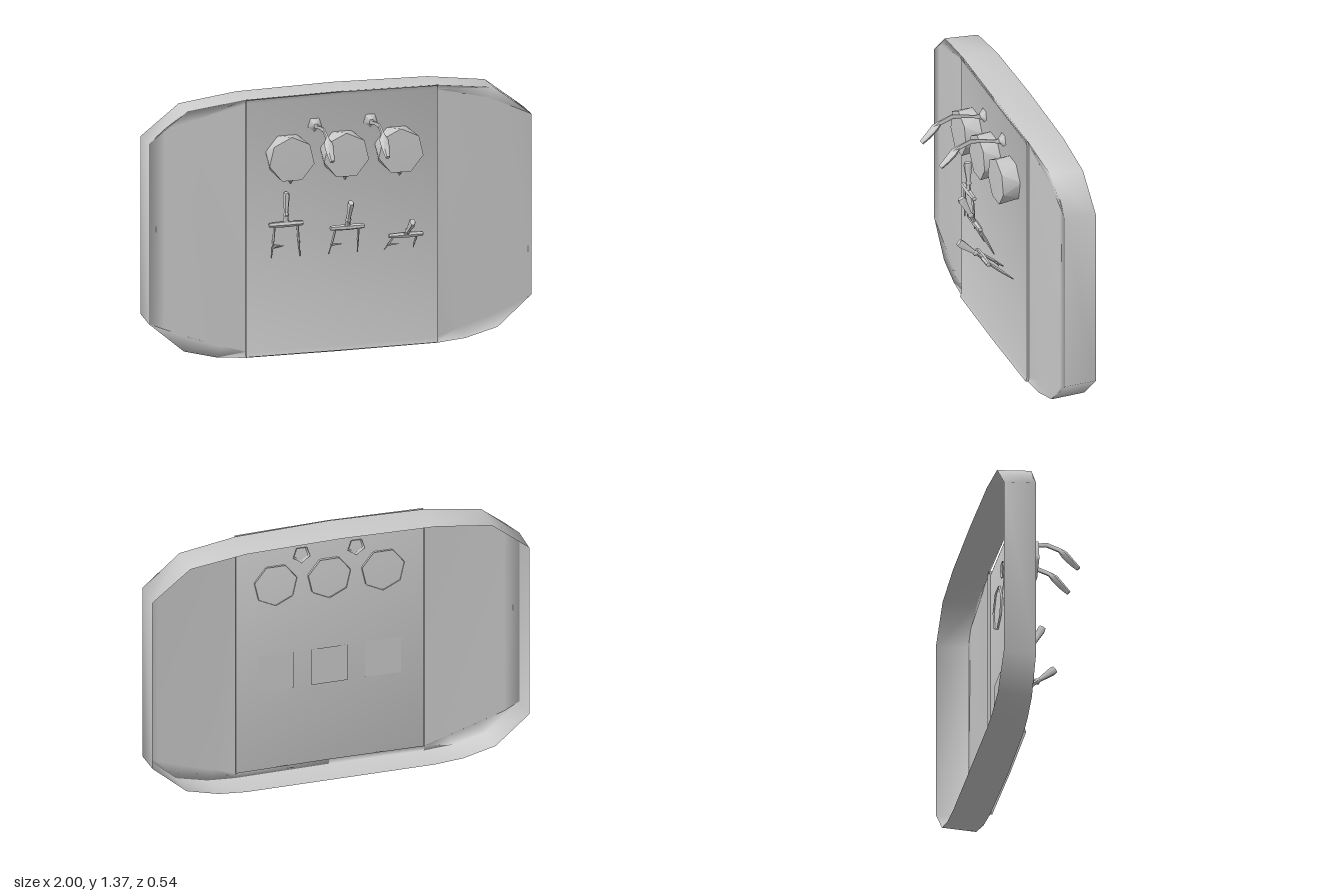
import * as THREE from 'three';
import { toCreasedNormals } from 'three/addons/utils/BufferGeometryUtils.js';

const grey = new THREE.MeshStandardMaterial({ color: 0xcccccc, side: THREE.DoubleSide });

function addMesh(parent, name, geometry) {
  const mesh = new THREE.Mesh(geometry, grey);
  mesh.name = name;
  parent.add(mesh);
  return mesh;
}

function indexed(points, faces) {
  const g = new THREE.BufferGeometry();
  g.setAttribute('position', new THREE.Float32BufferAttribute(points.flat(), 3));
  g.setIndex(faces.flat());
  g.computeVertexNormals();
  return g;
}

// Bar with oval cross-sections [x, y, z, radiusX, radiusAcross] along a path in the yz plane
function loft(sections, sides = 6) {
  const points = [], faces = [], n = sections.length;
  sections.forEach(([x, y, z, rx, ra], i) => {
    const a = sections[Math.max(i - 1, 0)], b = sections[Math.min(i + 1, n - 1)];
    const len = Math.hypot(b[1] - a[1], b[2] - a[2]);
    const dy = (b[1] - a[1]) / len, dz = (b[2] - a[2]) / len;
    for (let k = 0; k < sides; k++) {
      const t = k / sides * Math.PI * 2, c = Math.cos(t) * rx, s = Math.sin(t) * ra;
      points.push([x + c, y - s * dz, z + s * dy]);
    }
  });
  for (let i = 0; i < n - 1; i++) for (let k = 0; k < sides; k++) {
    const a = i * sides + k, b = i * sides + (k + 1) % sides;
    faces.push([a, a + sides, b], [b, a + sides, b + sides]);
  }
  for (let k = 1; k < sides - 1; k++) {
    const e = (n - 1) * sides;
    faces.push([0, k, k + 1], [e, e + k + 1, e + k]);
  }
  return toCreasedNormals(indexed(points, faces), 1);
}

// Closed loop from the right half of an outline, top centre to bottom centre
const loop = half => [...half, ...half.slice(1, -1).reverse().map(([x, y]) => [-x, y])];
const frontZ = x => -0.075 - 0.03 * x * x;

// Open-backed housing: side wall, front lip and two side panels
function housing() {
  const outer = loop([[0, 1.37], [0.5, 1.36], [0.8, 1.32], [1, 1.16], [1, 0.21],
    [0.82, 0.055], [0.65, 0.012], [0.5, 0], [0, 0]]);
  const inner = loop([[0, 1.345], [0.5, 1.335], [0.78, 1.265], [0.92, 1.23], [0.92, 0.17],
    [0.78, 0.12], [0.62, 0.07], [0.5, 0.03], [0, 0.03]]);
  const n = outer.length;
  const points = [
    ...outer.map(([x, y]) => [x, 0.685 + (y - 0.685) * 0.985, -0.27]),
    ...outer.map(([x, y]) => [x, y, frontZ(x)]),
    ...inner.map(([x, y]) => [x, y, frontZ(x) - 0.005])];
  const faces = [];
  for (let r = 0; r < 2; r++) for (let k = 0; k < n; k++) {
    const a = r * n + k, b = r * n + (k + 1) % n;
    faces.push([a, b, a + n], [b, b + n, a + n]);
  }
  for (const start of [1, 9]) {
    const i = 2 * n + start;
    for (let k = 1; k < 6; k++) faces.push([i, i + k + 1, i + k]);
  }
  return indexed(points, faces);
}

// Slightly raised middle panel with short returns at both sides
function middlePanel() {
  const columns = [[-0.5, -0.092], [-0.5, -0.076], [0, -0.072], [0.5, -0.076], [0.5, -0.092]];
  const points = [], faces = [];
  for (const [y, dz] of [[0.006, 0.007], [0.03, 0], [1.34, 0], [1.36, 0.007]])
    for (const [x, z] of columns) points.push([x, y + (x === 0 && y > 1 ? 0.008 : 0), z + dz]);
  for (let r = 0; r < 3; r++) for (let c = 0; c < 4; c++) {
    const a = r * 5 + c;
    faces.push([a, a + 1, a + 5], [a + 1, a + 6, a + 5]);
  }
  return toCreasedNormals(indexed(points, faces), 0.6);
}

// Seven-sided drum whose front face is turned half a step
function dialGeometry() {
  const profile = [[0.115, -0.05], [0.12, 0.05], [0, 0.052]].map(p => new THREE.Vector2(...p));
  const g = new THREE.LatheGeometry(profile, 7);
  const p = g.attributes.position, turn = Math.PI / 7;
  for (let i = 0; i < p.count; i++) if (p.getY(i) > 0) {
    const x = p.getX(i), z = p.getZ(i);
    p.setX(i, x * Math.cos(turn) + z * Math.sin(turn));
    p.setZ(i, z * Math.cos(turn) - x * Math.sin(turn));
  }
  return toCreasedNormals(g.rotateX(Math.PI / 2), 0.6);
}

function makeDial(x) {
  const dial = new THREE.Group();
  dial.name = 'dial';
  dial.position.set(x, 1.053, -0.034);
  addMesh(dial, 'dialDrum', dialGeometry());
  addMesh(dial, 'dialPointer', new THREE.ConeGeometry(0.02, 0.03, 4).rotateX(Math.PI))
    .position.set(0, -0.122, 0.02);
  return dial;
}

// Curved switch growing out of a five-sided boss
function makeSwitch(x) {
  const group = new THREE.Group();
  group.name = 'switch';
  group.position.x = x;
  addMesh(group, 'switchBoss', new THREE.CylinderGeometry(0.012, 0.048, 0.035, 5, 1, true)
    .rotateX(Math.PI / 2)).position.set(0, 1.205, -0.065);
  addMesh(group, 'switchArm', loft([
    [0, 1.2, -0.06, 0.012, 0.018], [0, 1.205, -0.02, 0.007, 0.008], [0, 1.218, 0.04, 0.008, 0.01],
    [0, 1.224, 0.1, 0.008, 0.013], [0, 1.2, 0.165, 0.01, 0.012], [0, 1.178, 0.19, 0.024, 0.018],
    [0, 1.14, 0.225, 0.02, 0.016], [0, 1.105, 0.262, 0.012, 0.012]]));
  return group;
}

// Forked lever: two legs, a cross bar and a flared handle
function makeLever(x, tilt) {
  const lever = new THREE.Group();
  lever.name = 'lever';
  lever.position.set(x, 0.525, -0.05);
  lever.rotation.x = tilt;
  for (const s of [-1, 1]) addMesh(lever, 'leverLeg', loft([
    [s * 0.075, 0, 0, 0.002, 0.003], [s * 0.066, 0.09, 0, 0.006, 0.008],
    [s * 0.06, 0.17, 0, 0.006, 0.006]], 4));
  addMesh(lever, 'crossBar', toCreasedNormals(new THREE.LatheGeometry(
    [[0, -0.092], [0.012, -0.088], [0.016, 0], [0.012, 0.088], [0, 0.092]]
      .map(p => new THREE.Vector2(...p)), 6), 0.6).rotateZ(Math.PI / 2)).position.y = 0.175;
  addMesh(lever, 'leverHandle', loft([
    [0, 0.175, 0, 0.016, 0.012], [0, 0.215, 0, 0.012, 0.01], [0, 0.225, 0, 0.016, 0.018],
    [0, 0.237, 0, 0.011, 0.011], [0, 0.325, 0, 0.018, 0.023], [0, 0.342, 0, 0.014, 0.019]]));
  addMesh(lever, 'leverCatch', new THREE.ConeGeometry(0.014, 0.065, 3).scale(1, 1, 0.5)
    .rotateZ(-Math.PI / 2)).position.set(-0.04, 0.06, 0);
  return lever;
}

export function createModel() {
  const model = new THREE.Group();
  model.name = 'controlPanel';
  addMesh(model, 'housing', housing());
  addMesh(model, 'middlePanel', middlePanel());

  const tilts = [0.03, 0.46, 0.89];
  [-0.285, 0, 0.285].forEach((x, i) => {
    model.add(makeDial(x));
    model.add(makeLever(i === 0 ? -0.3 : x * 1.02, tilts[i]));
    // Square plate behind each lever
    addMesh(model, 'leverPlate', new THREE.PlaneGeometry(0.19, 0.2).rotateY(Math.PI))
      .position.set(x, 0.56, -0.08);
  });
  for (const x of [-0.142, 0.148]) model.add(makeSwitch(x));
  return model;
}
